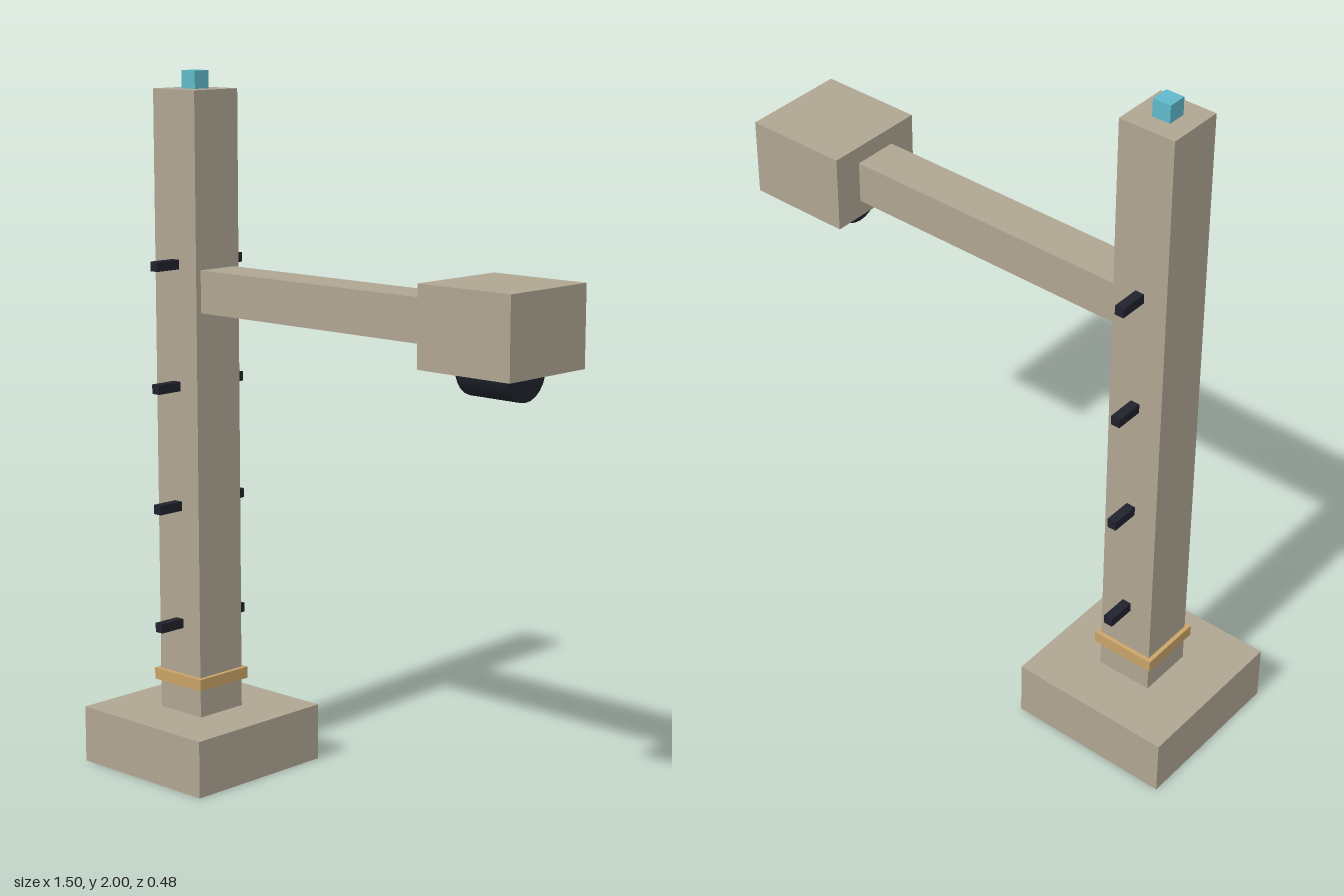
import * as THREE from 'three';

const material = (name, color) => {
  const m = new THREE.MeshStandardMaterial({ color });
  m.name = name;
  return m;
};

export function createModel() {
  const model = new THREE.Group();
  model.name = 'lampPost';
  const stone = material('warm grey', 0xb0a592);
  const gold = material('gold', 0xc8a468);
  const dark = material('near black', 0x20222c);
  const teal = material('teal', 0x5fb8ca);
  const postX = -0.511;

  const add = (name, geometry, mat, x, y, z) => {
    const mesh = new THREE.Mesh(geometry, mat);
    mesh.name = name;
    mesh.position.set(x, y, z);
    model.add(mesh);
    return mesh;
  };
  // Box given by its centre in x and z, and its bottom and top heights
  const box = (name, mat, x, z, w, d, y0, y1) =>
    add(name, new THREE.BoxGeometry(w, y1 - y0, d), mat, x, (y0 + y1) / 2, z);

  // Foot, column, collar and tip light
  box('base', stone, postX, 0, 0.48, 0.48, 0, 0.165);
  box('post', stone, postX, 0, 0.165, 0.165, 0.16, 1.95);
  box('collar', gold, postX, 0, 0.19, 0.19, 0.248, 0.282);
  box('tipLight', teal, postX, 0, 0.053, 0.053, 1.94, 2);

  // Side arm and lamp head
  box('arm', stone, 0.01, 0, 0.89, 0.13, 1.335, 1.455);
  box('head', stone, 0.595, 0, 0.3, 0.3, 1.286, 1.505);

  // Drum lens lying along the arm, half sunk into the head
  const lens = new THREE.CylinderGeometry(0.08, 0.08, 0.165, 24);
  lens.rotateZ(Math.PI / 2);
  add('lens', lens, dark, 0.593, 1.29, 0);

  // Climbing pegs on front and back
  for (let i = 0; i < 4; i++) {
    const y = 0.432 + i * 0.345;
    for (const side of [1, -1]) {
      box(side > 0 ? 'frontPeg' : 'backPeg', dark, postX, side * 0.121, 0.027, 0.088, y - 0.0135, y + 0.0135);
    }
  }
  return model;
}
